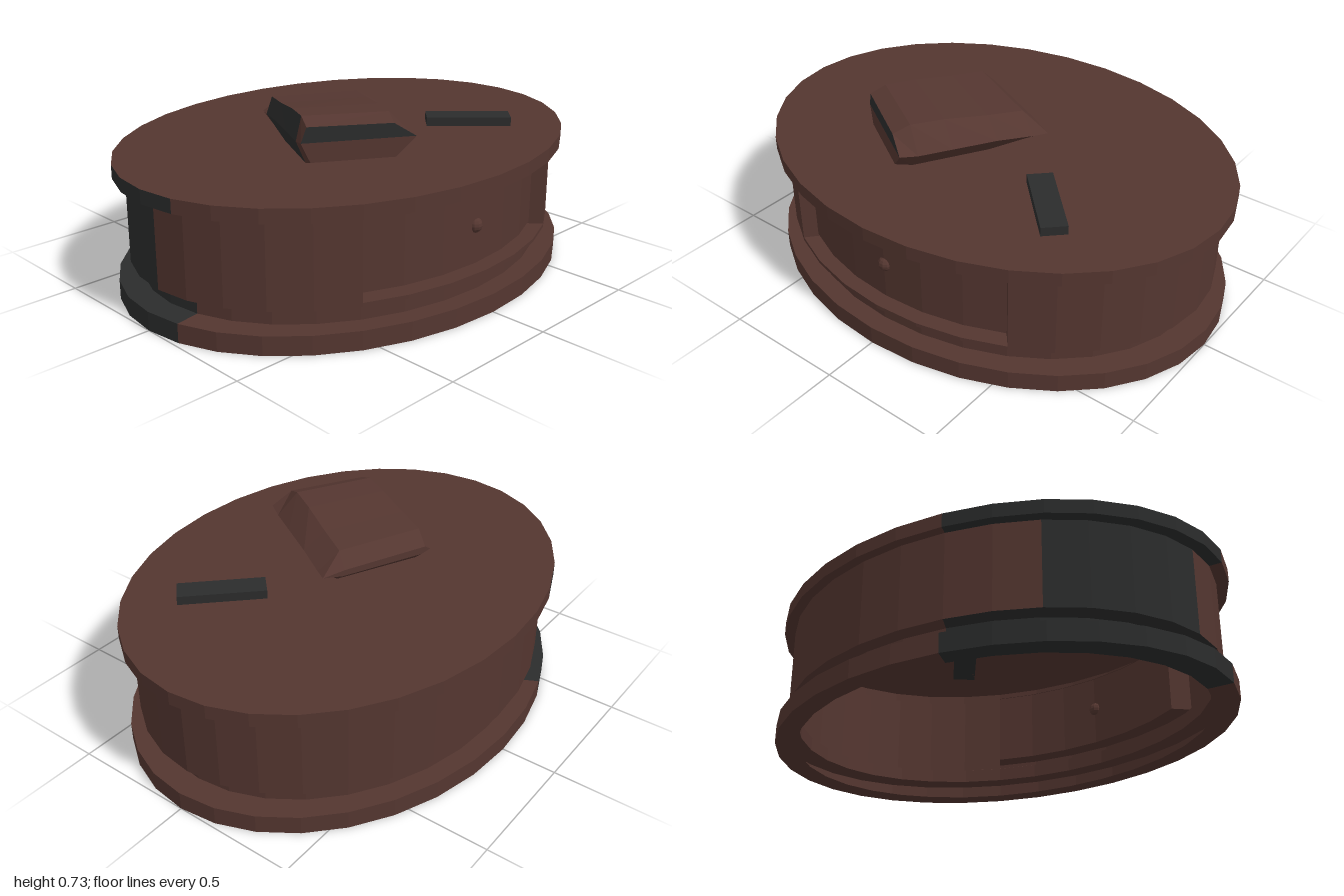
import * as THREE from 'three';

const SEG = 32, DEPTH = 0.775;

// Point on an ellipse of scale k, at step i round the drum
const at = (k, y, i) => {
  const t = (i / SEG) * Math.PI * 2;
  return [k * Math.cos(t), y, DEPTH * k * Math.sin(t)];
};

function quadMesh(name, quads, material) {
  const pos = [];
  for (const [a, b, c, d] of quads) pos.push(...a, ...b, ...c, ...a, ...c, ...d);
  const g = new THREE.BufferGeometry();
  g.setAttribute('position', new THREE.Float32BufferAttribute(pos, 3));
  g.computeVertexNormals();
  const m = new THREE.Mesh(g, material);
  m.name = name;
  return m;
}

// Sweep a profile of [scale, height] round the ellipse from step i0 to i1
function band(name, profile, i0, i1, material) {
  const quads = [];
  for (let i = i0; i < i1; i++) {
    for (let j = 0; j < profile.length - 1; j++) {
      const [k0, y0] = profile[j], [k1, y1] = profile[j + 1];
      quads.push([at(k0, y0, i), at(k1, y1, i), at(k1, y1, i + 1), at(k0, y0, i + 1)]);
    }
  }
  return quadMesh(name, quads, material);
}

export function createModel() {
  const group = new THREE.Group();
  const make = (name, hex) => {
    const m = new THREE.MeshStandardMaterial({ color: hex, flatShading: true, side: THREE.DoubleSide });
    m.name = name;
    return m;
  };
  const brown = make('brownWood', 0x543630);
  const dark = make('charcoal', 0x2b2c2c);

  // Base, neck and top rim, each with a charcoal stretch at the back
  const base = [[0.9, 0], [1, 0], [1, 0.075], [0.9, 0.075], [0.9, 0.13], [0.95, 0.145]];
  const rim = [[0.95, 0.485], [1, 0.485], [1, 0.54]];
  for (const [name, profile] of [['base', base], ['topRim', rim]]) {
    group.add(band(name, profile, 22, 47, brown));
    group.add(band(name + 'DarkPart', profile, 15, 22, dark));
  }
  group.add(band('tableTop', [[1, 0.54], [0, 0.54]], 0, SEG, brown));

  // Drum wall, open at the front for the drawer
  const wall = [[0.95, 0.145], [0.95, 0.485]];
  group.add(band('wallRight', wall, 11, 16, brown));
  group.add(band('wallDarkPart', wall, 16, 20, dark));
  group.add(band('wallBack', wall, 20, 37, brown));

  // Recess round the drawer
  group.add(band('sill', [[0.95, 0.145], [0.95, 0.16], [0.85, 0.16]], 5, 11, brown));
  group.add(band('lintel', [[0.85, 0.465], [0.95, 0.465], [0.95, 0.485]], 5, 11, brown));
  for (const i of [5, 11]) {
    group.add(quadMesh('jamb', [[at(0.85, 0.16, i), at(0.95, 0.16, i),
      at(0.95, 0.465, i), at(0.85, 0.465, i)]], brown));
  }

  // Curved drawer with a raised panel and a knob
  group.add(band('drawerBack', [[0.855, 0.16], [0.855, 0.465]], 5, 11, brown));
  group.add(band('drawerFront', [[0.855, 0.17], [0.88, 0.17], [0.88, 0.45], [0.855, 0.45]], 5, 11, brown));
  const knob = new THREE.Mesh(new THREE.SphereGeometry(0.03, 10, 8), brown);
  knob.name = 'knob';
  knob.position.set(0, 0.32, 0.672);
  group.add(knob);

  // Bag: six-sided sections between its open front end and its pinched back end
  const A = [-0.47, 0.24], B = [-0.1, 0.465], C = [0.21, -0.05], D = [-0.23, -0.25];
  const mix = THREE.MathUtils.lerp;
  const sections = [ // along, bottom, middle, top
    [0, 0.565, 0.64, 0.7], [0.12, 0.545, 0.63, 0.725], [0.35, 0.545, 0.63, 0.72],
    [0.65, 0.545, 0.63, 0.7], [0.9, 0.56, 0.62, 0.69], [1, 0.605, 0.62, 0.635],
  ];
  const rings = sections.map(([s, lo, mid, hi]) =>
    [[0.08, lo], [0, mid], [0.05, hi], [0.8, hi - 0.005], [1, mid], [0.82, lo]].map(([a, y]) => [
      mix(mix(A[0], B[0], a), mix(D[0], C[0], a), s), y,
      mix(mix(A[1], B[1], a), mix(D[1], C[1], a), s)]));
  const body = [], side = [];
  for (let r = 0; r < rings.length - 1; r++) {
    for (let j = 0; j < 6; j++) {
      const k = (j + 1) % 6, p = rings[r], q = rings[r + 1];
      (j < 2 && r > 0 && r < 4 ? side : body).push([p[j], p[k], q[k], q[j]]);
    }
  }
  const f = rings[0], e = rings[5];
  body.push([f[0], f[5], f[4], f[1]], [e[0], e[1], e[4], e[5]], [e[1], e[2], e[3], e[4]]);
  group.add(quadMesh('bag', body, brown));
  group.add(quadMesh('bagDarkSide', side, dark));
  group.add(quadMesh('bagOpening', [[f[1], f[4], f[3], f[2]]], dark));

  // Small dark bar lying on the top
  const bar = new THREE.Mesh(new THREE.BoxGeometry(0.345, 0.036, 0.1), dark);
  bar.name = 'bar';
  bar.position.set(0.438, 0.558, 0.268);
  bar.rotation.y = -Math.PI / 4;
  group.add(bar);

  return group;
}
